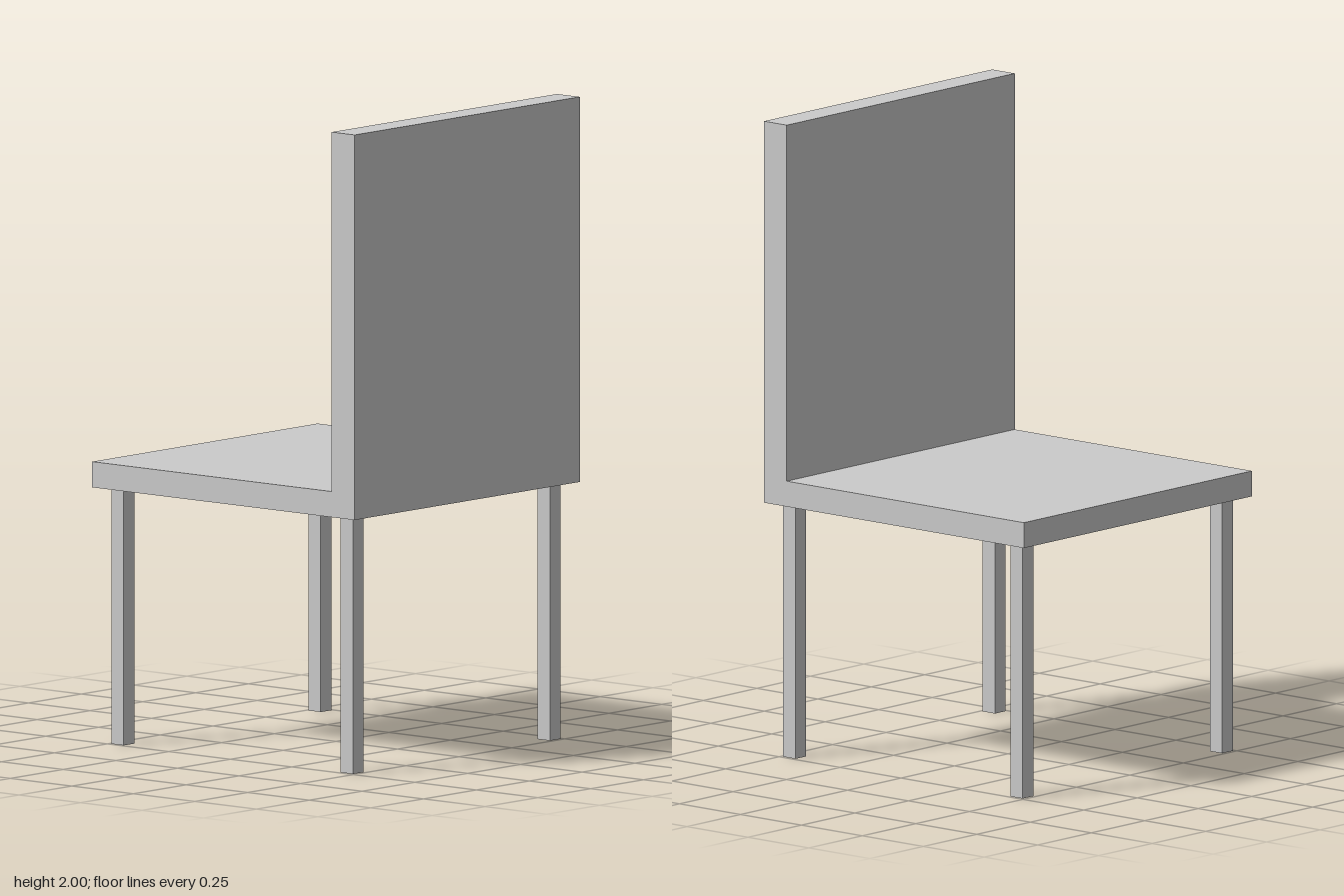
import * as THREE from 'three';

export function createModel() {
  const group = new THREE.Group();
  group.name = 'chair';
  const material = new THREE.MeshStandardMaterial({ color: 0xcccccc, flatShading: true });

  const half = 0.533;        // half the seat's width and depth
  const legHeight = 0.8;
  const seatTop = 0.88;
  const backInner = 0.44;    // inner face of the backrest

  // Seat and backrest: one L-shaped profile, extruded along z
  const profile = new THREE.Shape([
    [-half, legHeight], [half, legHeight], [half, 2],
    [backInner, 2], [backInner, seatTop], [-half, seatTop],
  ].map(([x, y]) => new THREE.Vector2(x, y)));
  const bodyGeometry = new THREE.ExtrudeGeometry(profile, { depth: half * 2, bevelEnabled: false });
  bodyGeometry.translate(0, 0, -half);
  const body = new THREE.Mesh(bodyGeometry, material);
  body.name = 'seatAndBackrest';
  group.add(body);

  // Four square legs, set in from the corners
  const legGeometry = new THREE.BoxGeometry(0.05, legHeight, 0.05);
  for (const [x, side] of [[-1, 'right'], [1, 'left']]) {
    for (const [z, end] of [[1, 'Front'], [-1, 'Back']]) {
      const leg = new THREE.Mesh(legGeometry, material);
      leg.name = `${side}${end}Leg`;
      leg.position.set(x * 0.466, legHeight / 2, z * 0.466);
      group.add(leg);
    }
  }

  return group;
}
